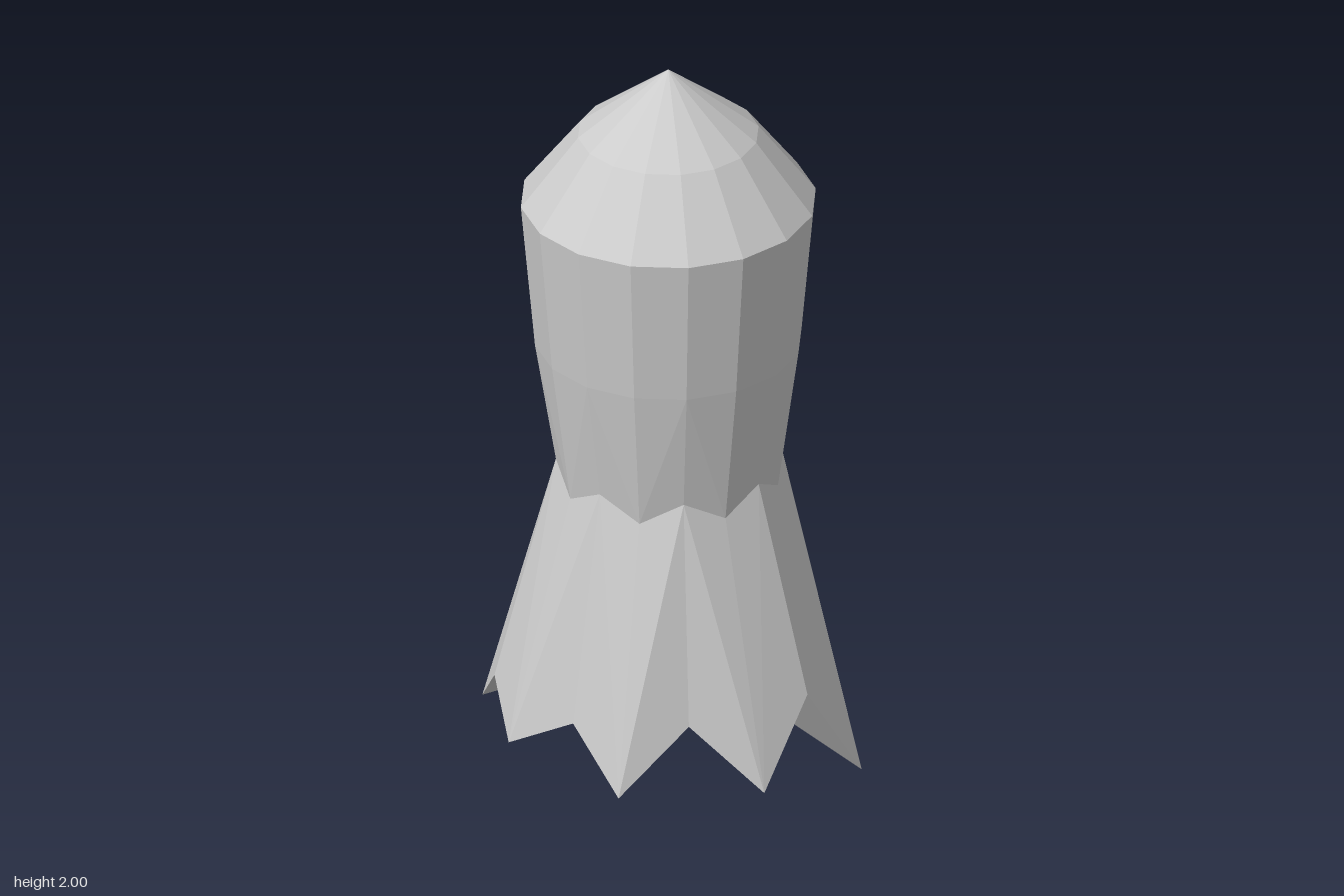
import * as THREE from 'three';

const SIDES = 16;
const CX = -0.01; // the body axis sits slightly off centre

// Ring of points, starting at the front and turning towards +x; y may vary per point
function ring(radius, y) {
  return Array.from({ length: SIDES }, (_, i) => {
    const a = (i / SIDES) * Math.PI * 2;
    const h = typeof y === 'function' ? y(i) : y;
    return new THREE.Vector3(CX + radius * Math.sin(a), h, radius * Math.cos(a));
  });
}

// Flat-faceted skin through rings, listed from bottom to top
function loft(name, rings) {
  const pos = [];
  const tri = (a, b, c) => {
    if (a.equals(b) || b.equals(c) || c.equals(a)) return;
    for (const p of [a, b, c]) pos.push(p.x, p.y, p.z);
  };
  for (let r = 0; r < rings.length - 1; r++) {
    const lo = rings[r], hi = rings[r + 1];
    for (let i = 0; i < SIDES; i++) {
      const j = (i + 1) % SIDES;
      if (i % 2) { // mirror the diagonals about each skirt point
        tri(lo[i], lo[j], hi[i]);
        tri(lo[j], hi[j], hi[i]);
      } else {
        tri(lo[i], lo[j], hi[j]);
        tri(lo[i], hi[j], hi[i]);
      }
    }
  }
  const geo = new THREE.BufferGeometry();
  geo.setAttribute('position', new THREE.Float32BufferAttribute(pos, 3));
  geo.computeVertexNormals();
  const mesh = new THREE.Mesh(geo, new THREE.MeshStandardMaterial({ color: 0xcccccc, flatShading: true }));
  mesh.name = name;
  return mesh;
}

export function createModel() {
  const group = new THREE.Group();
  group.name = 'finnedCapsule';

  // Jagged lower edge: tip, notch, tip, notch ... from the front towards +x
  const rim = [
    [-0.01, 0.11, 0.51], [0.145, 0.275, 0.38],
    [0.34, 0.09, 0.35], [0.41, 0.3, 0.175],
    [0.51, 0, 0], [0.39, 0.235, -0.16],
    [0.35, 0.07, -0.36], [0.18, 0.22, -0.43],
    [-0.01, 0.01, -0.515], [-0.16, 0.265, -0.37],
    [-0.37, 0.01, -0.365], [-0.42, 0.265, -0.18],
    [-0.51, 0.08, 0], [-0.43, 0.245, 0.18],
    [-0.35, 0.14, 0.34], [-0.165, 0.245, 0.385],
  ].map((p) => new THREE.Vector3(...p));

  // Zigzag waist where the skirt meets the body
  const waist = ring(0.295, (i) => (i % 2 ? 0.87 : 0.81));
  const shoulder = ring(0.387, 1.62);

  group.add(
    loft('underside', [ring(0, 0.31), rim]),
    loft('skirt', [rim, waist]),
    loft('body', [waist, ring(0.35, 1.21), shoulder]),
    loft('domeCap', [shoulder, ring(0.237, 1.815), ring(0, 2)]),
  );
  return group;
}
